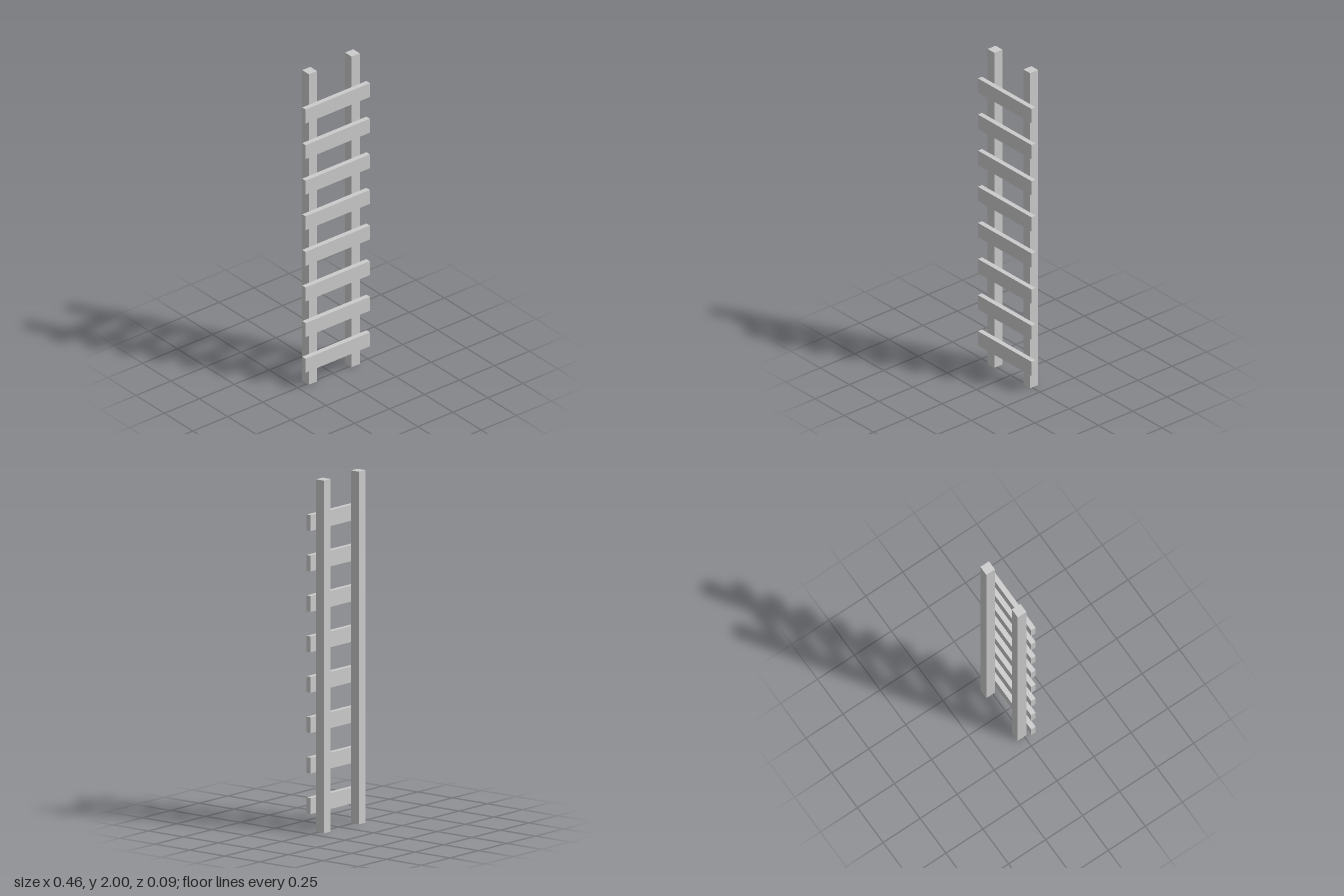
import * as THREE from 'three';

export function createModel() {
  const ladder = new THREE.Group();
  ladder.name = 'ladder';
  const material = new THREE.MeshStandardMaterial({ color: 0xcccccc, flatShading: true });

  function addBeam(name, size, position) {
    const beam = new THREE.Mesh(new THREE.BoxGeometry(...size), material);
    beam.name = name;
    beam.position.set(...position);
    ladder.add(beam);
  }

  // Two square upright rails
  addBeam('leftRail', [0.058, 2, 0.058], [0.153, 1, -0.015]);
  addBeam('rightRail', [0.058, 2, 0.058], [-0.153, 1, -0.015]);

  // Flat rungs fixed to the front of the rails, overhanging both sides
  const rungCount = 8;
  const firstRungY = 0.154;
  const rungSpacing = 0.2293;
  for (let i = 0; i < rungCount; i++) {
    addBeam(`rung${i + 1}`, [0.459, 0.09, 0.03], [0, firstRungY + i * rungSpacing, 0.029]);
  }

  return ladder;
}
